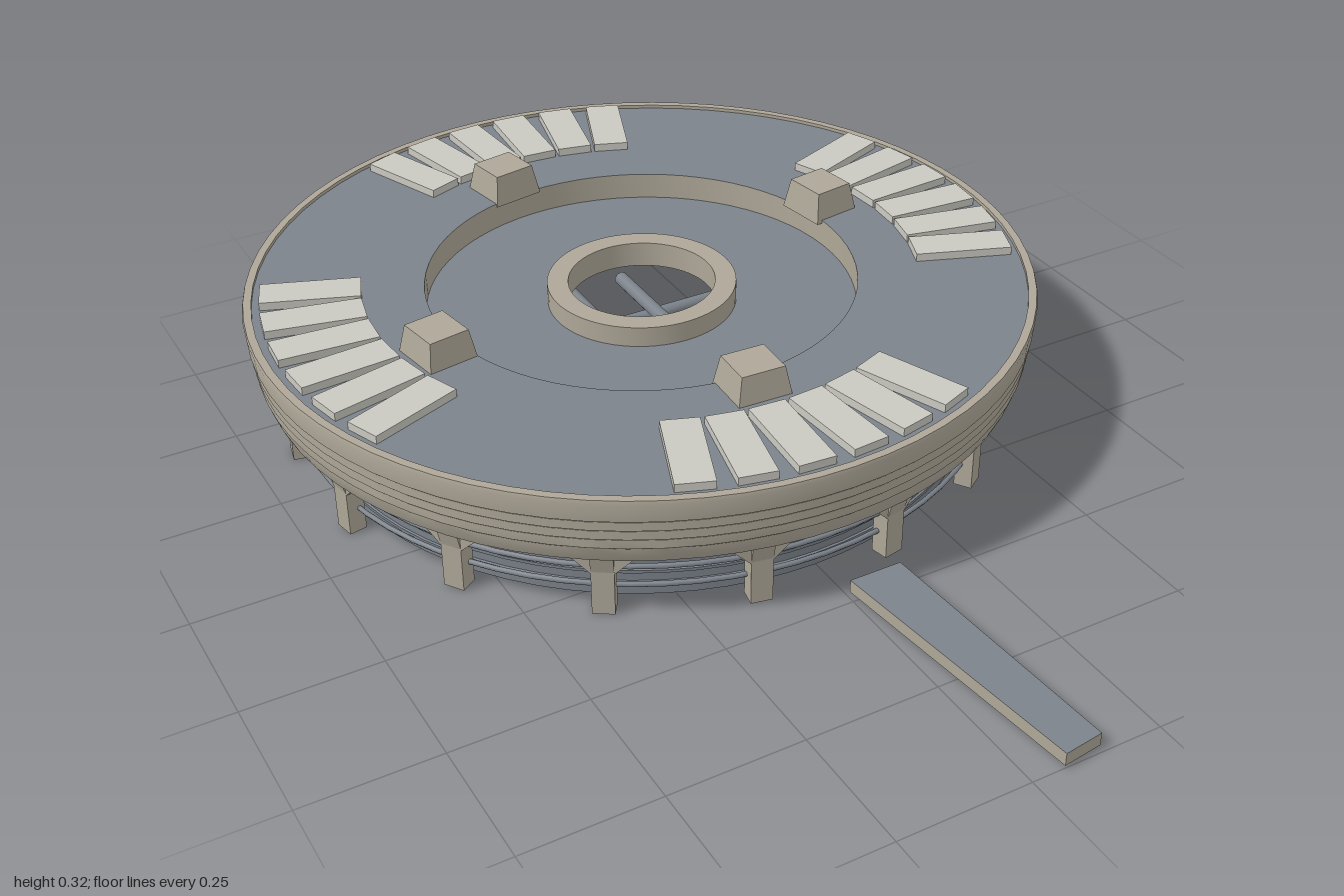
import * as THREE from 'three';
import { toCreasedNormals } from 'three/addons/utils/BufferGeometryUtils.js';

const mat = (name, color) => {
  const m = new THREE.MeshStandardMaterial({ color, side: THREE.DoubleSide });
  m.name = name;
  return m;
};

export function createModel() {
  const stone = mat('warm stone', 0xaea798);
  const slate = mat('slate', 0x7c838b);
  const pale = mat('pale panel', 0xcac9c1);

  const model = new THREE.Group();
  model.name = 'roundBuilding';
  const hall = new THREE.Group();
  hall.name = 'hall';
  hall.position.z = -0.255;
  model.add(hall);

  const add = (parent, name, geometry, material) => {
    const mesh = new THREE.Mesh(geometry, material);
    mesh.name = name;
    parent.add(mesh);
    return mesh;
  };
  // Revolved part; profiles run up the outside and inward over the top
  const turned = (name, profile, material) => {
    const points = profile.map(([r, y]) => new THREE.Vector2(r, y));
    return add(hall, name, toCreasedNormals(new THREE.LatheGeometry(points, 72), 0.45), material);
  };
  // Empty group turned to face outward at an angle measured from the front
  const spoke = (name, angle) => {
    const g = new THREE.Group();
    g.name = name;
    g.rotation.y = angle;
    hall.add(g);
    return g;
  };
  // Four-cornered block whose top is scaled against its bottom
  const tapered = (w, h, d, sx, sz) => {
    const g = new THREE.BoxGeometry(w, h, d);
    const p = g.attributes.position;
    for (let i = 0; i < p.count; i++) {
      if (p.getY(i) > 0) p.setXYZ(i, p.getX(i) * sx, p.getY(i), p.getZ(i) * sz);
    }
    g.computeVertexNormals();
    return g;
  };

  // Outer hull with shallow stepped bands, rim and underside
  const hull = [[0.635, 0.13], [0.705, 0.13], [0.722, 0.138], [0.727, 0.15], [0.732, 0.17]];
  [0.19, 0.21, 0.23].forEach((y, i) => {
    const r = 0.734 + i * 0.003;
    hull.push([r, y - 0.018], [r, y - 0.001], [r - 0.003, y]);
  });
  hull.push([0.743, 0.232], [0.746, 0.268], [0.744, 0.275], [0.729, 0.275], [0.729, 0.266]);
  turned('hull', hull, stone);
  turned('hullLining', [[0.635, 0.13], [0.64, 0.265]], stone);

  // Roof ring, recessed centre and its surrounding step
  turned('outerRoof', [[0.732, 0.268], [0.41, 0.268]], slate);
  turned('roofStep', [[0.41, 0.268], [0.41, 0.215]], stone);
  turned('innerRoof', [[0.41, 0.215], [0.16, 0.215]], slate);
  turned('skylightCollar',
    [[0.14, 0.205], [0.18, 0.205], [0.18, 0.255], [0.14, 0.255], [0.14, 0.205]], stone);

  // Lower drum with raised courses
  const drum = [[0.635, 0]];
  [0.025, 0.05, 0.08, 0.105].forEach((y) => {
    drum.push([0.635, y - 0.004], [0.639, y - 0.003], [0.639, y + 0.003], [0.635, y + 0.004]);
  });
  drum.push([0.635, 0.132]);
  turned('drumWall', drum, slate);

  // Rails linking the legs
  for (const y of [0.047, 0.085]) {
    const rail = add(hall, 'legRail', new THREE.TorusGeometry(0.668, 0.005, 6, 72), slate);
    rail.rotation.x = Math.PI / 2;
    rail.position.y = y;
  }

  // Sixteen legs with flared brackets
  const legShape = new THREE.Shape([
    [-0.02, 0], [0.02, 0], [0.02, 0.085], [0.058, 0.122], [0.058, 0.134], [0.038, 0.134],
    [0, 0.108], [-0.038, 0.134], [-0.058, 0.134], [-0.058, 0.122], [-0.02, 0.085],
  ].map(([x, y]) => new THREE.Vector2(x, y)));
  const legGeometry = new THREE.ExtrudeGeometry(legShape, { depth: 0.034, bevelEnabled: false });
  const capGeometry = tapered(0.04, 0.045, 0.034, 1, 1.7);
  for (let i = 0; i < 16; i++) {
    const g = spoke('leg', (i + 0.5) * Math.PI / 8);
    add(g, 'legPost', legGeometry, stone).position.z = 0.657;
    add(g, 'legBracket', capGeometry, stone).position.set(0, 0.111, 0.674);
  }

  // Four fans of six roof panels
  const panelGeometry = new THREE.BoxGeometry(0.07, 0.018, 0.187);
  for (let q = 0; q < 4; q++) {
    for (let i = 0; i < 6; i++) {
      const g = spoke('roofPanel', q * Math.PI / 2 + (i - 2.5) * 0.147);
      add(g, 'panel', panelGeometry, pale).position.set(0, 0.275, 0.62);
    }
  }

  // Rooftop vents
  const ventGeometry = tapered(0.106, 0.06, 0.1, 0.8, 0.8);
  for (const [x, z] of [[-0.08, -0.445], [0.44, -0.065], [-0.45, 0.075], [-0.02, 0.447]]) {
    const g = spoke('roofVent', Math.atan2(x, z));
    add(g, 'vent', ventGeometry, stone).position.set(0, 0.292, Math.hypot(x, z));
  }

  // Crossed struts below the skylight
  const strutGeometry = new THREE.CylinderGeometry(0.014, 0.014, 0.4, 10);
  for (const s of [-1, 1]) {
    const across = add(hall, 'crossStrut', strutGeometry, slate);
    across.rotation.z = Math.PI / 2;
    across.position.set(0, 0.115, s * 0.08);
    const along = add(hall, 'longStrut', strutGeometry, slate);
    along.rotation.x = Math.PI / 2;
    along.position.set(s * 0.057, 0.14, 0);
  }

  // Tapered entrance ramp: deck on an open frame
  const ramp = new THREE.Group();
  ramp.name = 'entranceRamp';
  model.add(ramp);
  const corners = [[0.006, 0.48], [0.108, 0.48], [0.138, 0.99], [0.062, 1]];
  const rampShape = new THREE.Shape(corners.map(([x, z]) => new THREE.Vector2(x, -z)));
  const deck = add(ramp, 'rampDeck', new THREE.ShapeGeometry(rampShape), slate);
  deck.rotation.x = -Math.PI / 2;
  deck.position.y = 0.03;
  corners.forEach(([x, z], i) => {
    const [x2, z2] = corners[(i + 1) % 4];
    const side = add(ramp, 'rampSide',
      new THREE.PlaneGeometry(Math.hypot(x2 - x, z2 - z), 0.025), stone);
    side.position.set((x + x2) / 2, 0.0175, (z + z2) / 2);
    side.rotation.y = Math.atan2(z - z2, x2 - x) + Math.PI;
  });
  return model;
}
